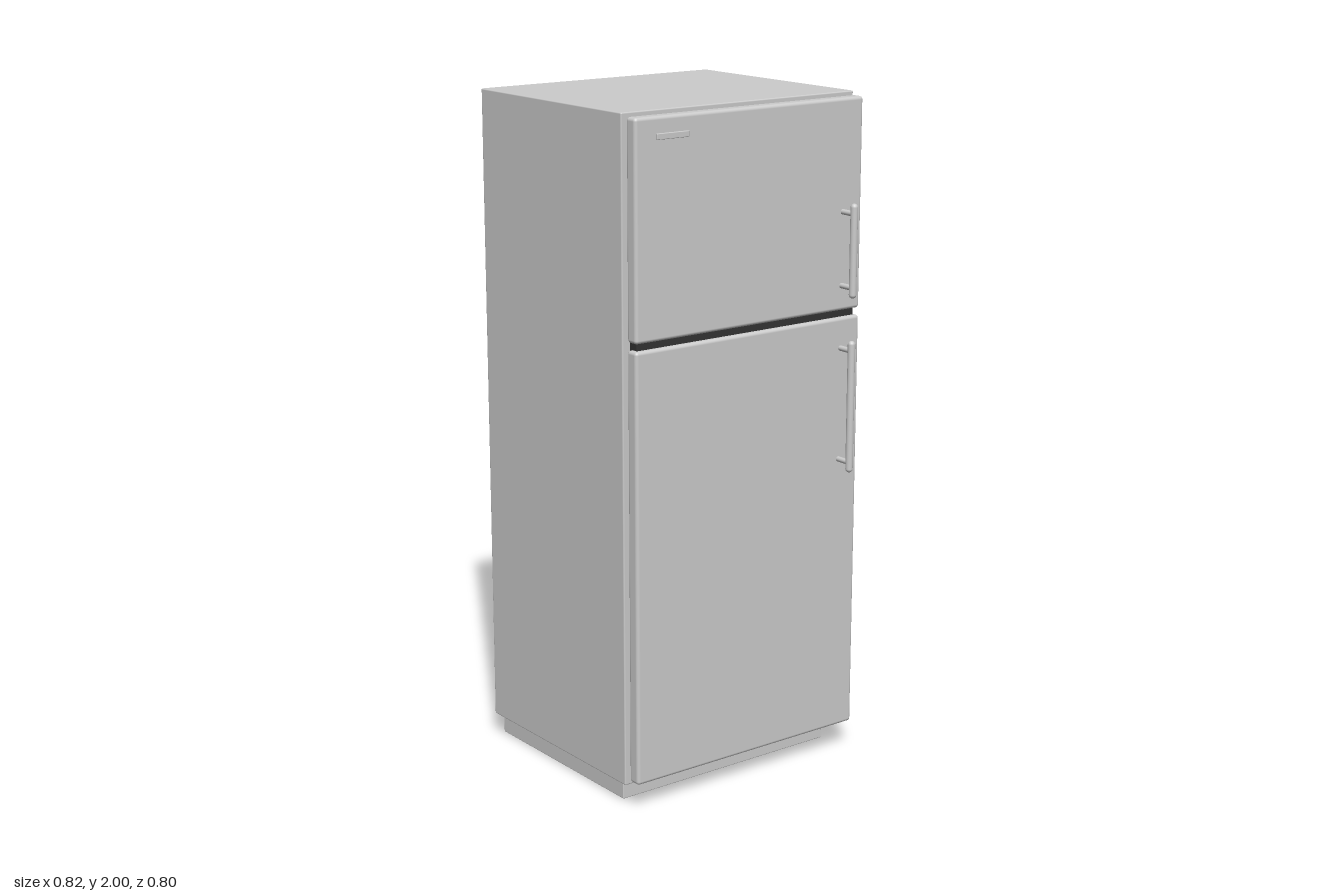
import * as THREE from 'three';
import { RoundedBoxGeometry } from 'three/addons/geometries/RoundedBoxGeometry.js';

const grey = new THREE.MeshStandardMaterial({ color: 0xcccccc });
const dark = new THREE.MeshStandardMaterial({ color: 0x333333 });

// Rounded box given by its extents on each axis
function block(name, [x0, x1], [y0, y1], [z0, z1], radius, material = grey) {
  const geometry = new RoundedBoxGeometry(x1 - x0, y1 - y0, z1 - z0, 3, radius);
  const mesh = new THREE.Mesh(geometry, material);
  mesh.position.set((x0 + x1) / 2, (y0 + y1) / 2, (z0 + z1) / 2);
  mesh.name = name;
  return mesh;
}

// Vertical round-ended bar held off the door by two posts
function handle(name, y0, y1) {
  const group = new THREE.Group();
  group.name = name;
  const r = 0.011, x = 0.332, z = 0.389;
  const bar = new THREE.Mesh(new THREE.CapsuleGeometry(r, y1 - y0 - 2 * r, 6, 20), grey);
  bar.name = 'handleBar';
  bar.position.set(x, (y0 + y1) / 2, z);
  group.add(bar);
  for (const y of [y0 + 0.03, y1 - 0.03]) {
    const post = new THREE.Mesh(new THREE.CylinderGeometry(0.008, 0.008, 0.05, 16), grey);
    post.name = 'handlePost';
    post.rotation.x = Math.PI / 2;
    post.position.set(x, y, 0.36);
    group.add(post);
  }
  return group;
}

export function createModel() {
  const model = new THREE.Group();
  model.name = 'refrigerator';
  const doorX = [-0.403, 0.403], doorZ = [0.298, 0.34];
  model.add(
    // Cabinet and recessed plinth
    block('cabinet', [-0.41, 0.41], [0.07, 2], [-0.4, 0.287], 0.004),
    block('plinth', [-0.378, 0.378], [0, 0.072], [-0.4, 0.233], 0.003),
    // Doors with the dark strip between them
    block('freezerDoor', doorX, [1.376, 1.99], doorZ, 0.01),
    block('fridgeDoor', doorX, [0.085, 1.355], doorZ, 0.01),
    block('doorDivider', [-0.39, 0.39], [1.35, 1.381], [0.294, 0.326], 0.002, dark),
    // Handles and small blank plate
    handle('freezerHandle', 1.42, 1.695),
    handle('fridgeHandle', 0.9, 1.295),
    block('plate', [-0.333, -0.223], [1.927, 1.944], [0.337, 0.345], 0.002),
  );
  return model;
}
